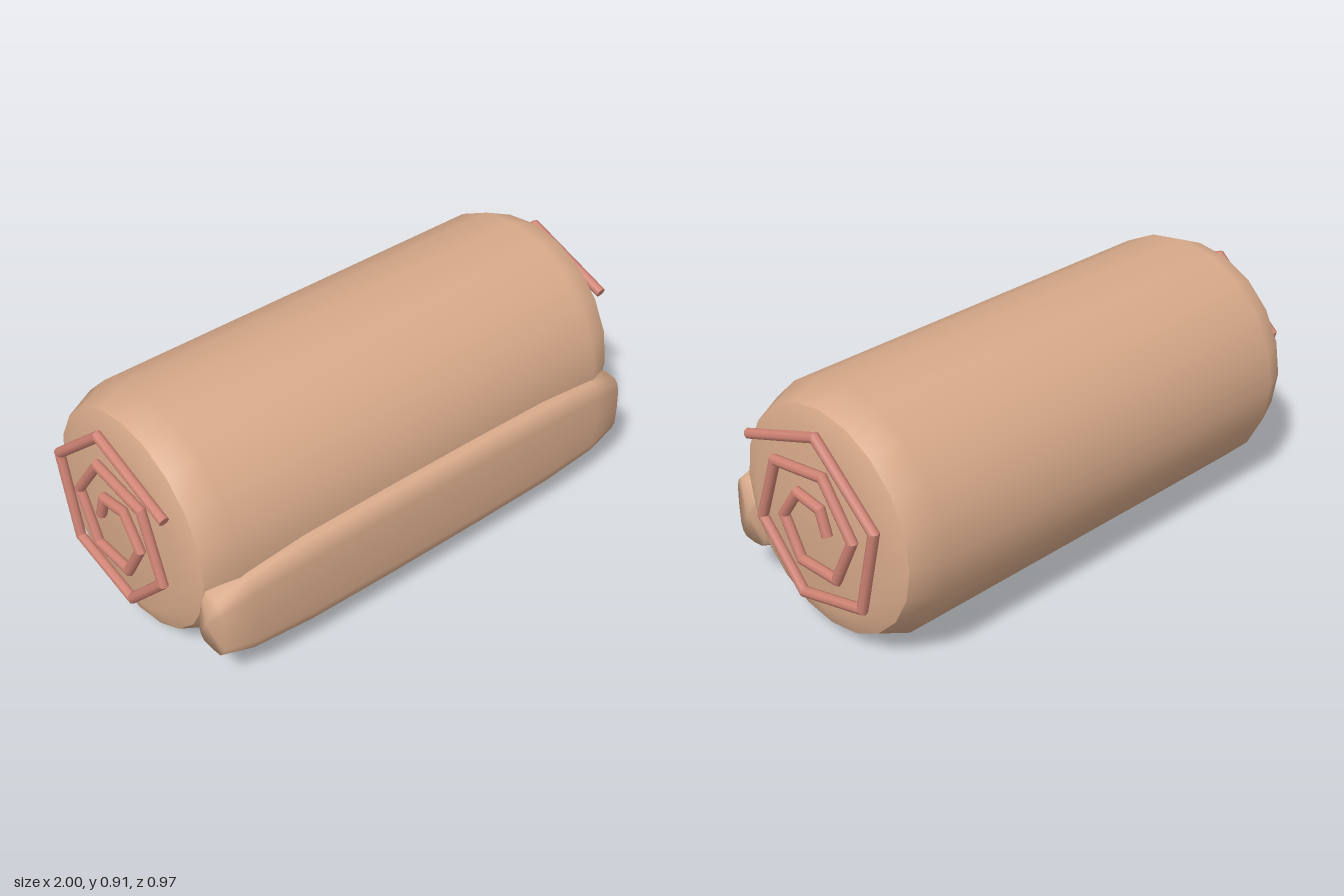
import * as THREE from 'three';
import { mergeGeometries, mergeVertices } from 'three/addons/utils/BufferGeometryUtils.js';

const skin = new THREE.MeshStandardMaterial({ color: 0xd8aa8a });
skin.name = 'tan';
const pink = new THREE.MeshStandardMaterial({ color: 0xd08475 });
pink.name = 'salmon pink';

// Lathe turned about the x axis; points are [radius, x] with x rising
function latheX(points, sides) {
  const profile = points.map(([r, x]) => new THREE.Vector2(r, x));
  return new THREE.LatheGeometry(profile, sides).rotateZ(-Math.PI / 2);
}

function addMesh(parent, name, geometry, material) {
  const mesh = new THREE.Mesh(geometry, material);
  mesh.name = name;
  parent.add(mesh);
  return mesh;
}

// Mitred tube along a path of [z, y] points, lying in the plane x = 0
function spiralGeometry(path, radius) {
  const pts = path.map(([z, y]) => new THREE.Vector3(0, y, z));
  const dirs = pts.slice(1).map((p, i) => p.clone().sub(pts[i]).normalize());
  const axis = new THREE.Vector3(1, 0, 0);
  const pieces = dirs.map((d, i) => {
    const length = pts[i].distanceTo(pts[i + 1]);
    const geo = new THREE.CylinderGeometry(radius, radius, length, 8);
    const side = d.clone().cross(axis);
    // Slope of the cut where this piece meets its neighbour
    const slope = (other) => {
      if (!other) return 0;
      const t = d.clone().add(other);
      return -side.dot(t) / d.dot(t);
    };
    const start = slope(dirs[i - 1]);
    const end = slope(dirs[i + 1]);
    const pos = geo.attributes.position;
    for (let k = 0; k < pos.count; k++) {
      const y = pos.getY(k);
      pos.setY(k, y + pos.getX(k) * (y > 0 ? end : start));
    }
    const matrix = new THREE.Matrix4().makeBasis(side, d, axis);
    matrix.setPosition(pts[i].clone().add(pts[i + 1]).multiplyScalar(0.5));
    return geo.applyMatrix4(matrix);
  });
  return mergeGeometries(pieces);
}

// Long pillow: a lathe whose round section is squared off and flattened
function flapGeometry() {
  const half = [[0, 0.935], [0.65, 0.915], [0.87, 0.79], [0.975, 0.55], [1, 0.2]];
  const profile = [...half.map(([r, x]) => [r, -x]), ...half.slice().reverse()];
  let geo = latheX(profile, 16);
  const pos = geo.attributes.position;
  const square = (v, r) => (r < 1e-6 ? 0 : Math.sign(v) * r * Math.pow(Math.abs(v) / r, 0.5));
  for (let i = 0; i < pos.count; i++) {
    const y = pos.getY(i), z = pos.getZ(i);
    const r = Math.hypot(y, z);
    const depth = Math.pow(r, 0.6); // ends stay blunt in depth
    pos.setY(i, 0.19 * square(y, r));
    pos.setZ(i, r < 1e-6 ? 0 : 0.092 * square(z, r) / r * depth);
  }
  geo.deleteAttribute('uv');
  geo.deleteAttribute('normal');
  geo = mergeVertices(geo, 1e-5);
  geo.computeVertexNormals();
  return geo;
}

export function createModel() {
  const model = new THREE.Group();
  model.name = 'roll';

  // Rolled body with bevelled rims
  const body = new THREE.Group();
  body.name = 'body';
  body.position.set(0, 0.455, -0.03);
  model.add(body);
  addMesh(body, 'barrel', latheX([[0.405, -0.92], [0.453, -0.81], [0.453, 0.81], [0.405, 0.92]], 20), skin);

  // Slightly domed ends
  addMesh(body, 'leftEnd', latheX([[0.405, 0.92], [0.315, 0.958], [0, 0.965]], 20), skin);
  addMesh(body, 'rightEnd', latheX([[0, -0.965], [0.315, -0.958], [0.405, -0.92]], 20), skin);

  // Loose outer flap at the front
  addMesh(model, 'flap', flapGeometry(), skin).position.set(0, 0.295, 0.39);

  // Angular spirals on both ends
  const path = [
    [0.27, 0.68], [-0.08, 0.805], [-0.345, 0.573], [-0.27, 0.254], [0.03, 0.176],
    [0.228, 0.386], [0.138, 0.635], [-0.105, 0.671], [-0.236, 0.49], [-0.148, 0.308],
    [0.03, 0.305], [0.109, 0.446], [0.03, 0.56], [-0.083, 0.544], [-0.112, 0.457],
  ];
  const spiral = spiralGeometry(path, 0.019);
  addMesh(model, 'leftSpiral', spiral, pink).position.x = 0.981;
  addMesh(model, 'rightSpiral', spiral, pink).position.x = -0.981;

  return model;
}
